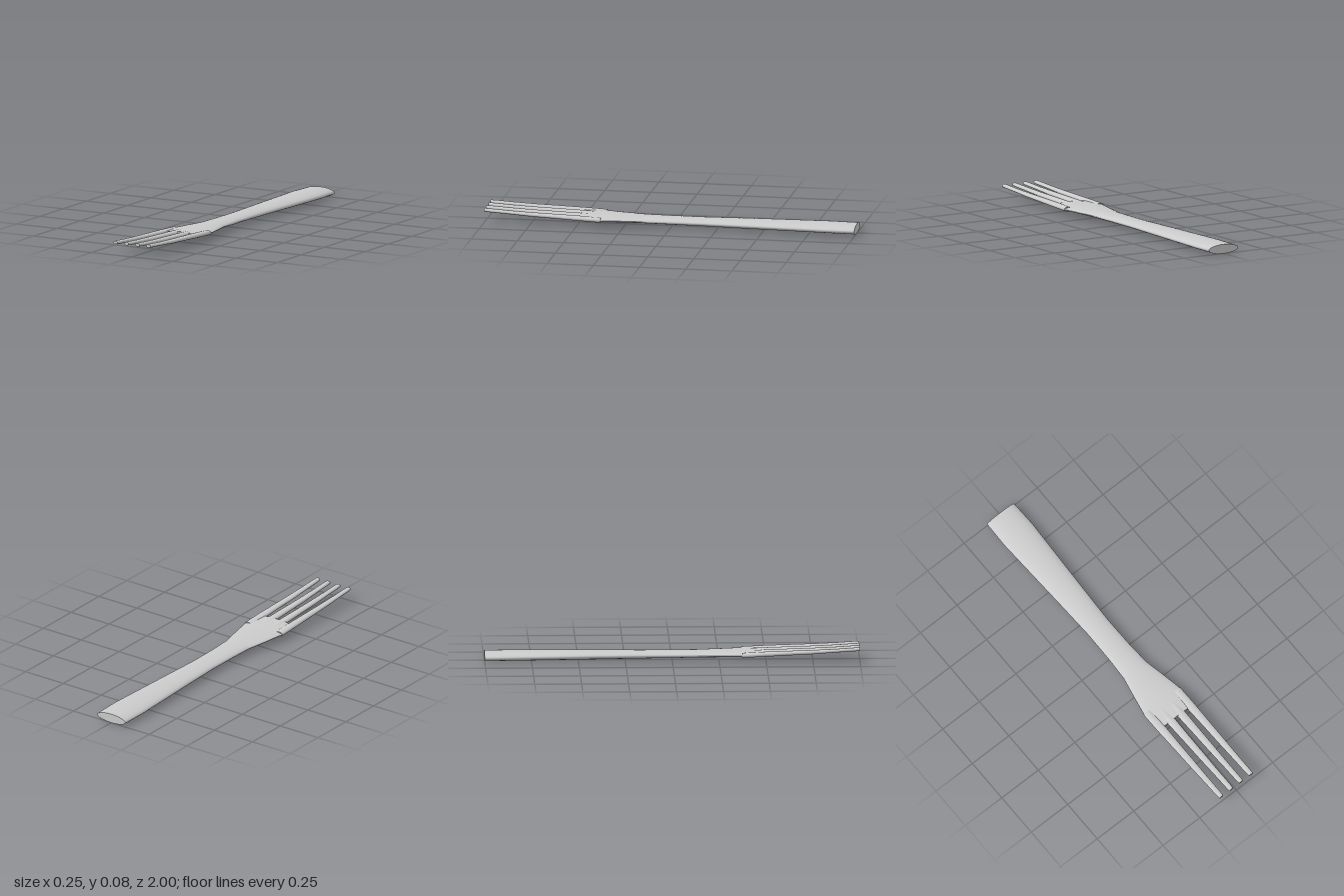
import * as THREE from 'three';

const material = new THREE.MeshStandardMaterial({ color: 0xcccccc });

// Loft oval sections [z, halfWidth, bottomY, topY] along z, with flat end caps
function loft(name, sections, sides, x0 = 0, power = 1) {
  const pos = [], index = [];
  const point = ([z, w, bottom, top], j) => {
    const a = (j / sides) * Math.PI * 2;
    const c = Math.cos(a), s = Math.sin(a);
    const mid = (bottom + top) / 2;
    pos.push(x0 + w * Math.sign(c) * Math.abs(c) ** power, mid + s * (top - bottom) / 2, z);
  };
  sections.forEach((section, i) => {
    for (let j = 0; j < sides; j++) {
      point(section, j);
      if (i === sections.length - 1) continue;
      const a = i * sides + j, b = i * sides + (j + 1) % sides;
      index.push(a, b, a + sides, b, b + sides, a + sides);
    }
  });
  // Caps use their own vertices so the rims stay sharp
  [sections[0], sections[sections.length - 1]].forEach((section, end) => {
    const start = pos.length / 3;
    for (let j = 0; j < sides; j++) point(section, j);
    for (let j = 1; j < sides - 1; j++) {
      if (end) index.push(start, start + j, start + j + 1);
      else index.push(start, start + j + 1, start + j);
    }
  });
  const geometry = new THREE.BufferGeometry();
  geometry.setAttribute('position', new THREE.Float32BufferAttribute(pos, 3));
  geometry.setIndex(index);
  geometry.computeVertexNormals();
  const mesh = new THREE.Mesh(geometry, material);
  mesh.name = name;
  return mesh;
}

export function createModel() {
  const fork = new THREE.Group();
  fork.name = 'fork';

  // Handle, flaring at the back and narrowing at the waist
  fork.add(loft('handle', [
    [-1, 0.093, 0.0, 0.05],
    [-0.85, 0.097, 0.002, 0.052],
    [-0.4, 0.077, 0.006, 0.052],
    [-0.17, 0.068, 0.009, 0.05],
    [0, 0.07, 0.011, 0.05],
    [0.14, 0.077, 0.014, 0.05],
  ], 32));

  // Shoulder widening into the root of the tines
  fork.add(loft('shoulder', [
    [0.14, 0.077, 0.014, 0.05],
    [0.25, 0.1, 0.018, 0.051],
    [0.37, 0.123, 0.022, 0.052],
    [0.4, 0.121, 0.024, 0.052],
    [0.49, 0.105, 0.027, 0.053],
  ], 32));

  // Four tapered tines, curving gently upward
  for (let i = 0; i < 4; i++) {
    const x = (i - 1.5) * 0.0675;
    fork.add(loft('tine' + (i + 1), [
      [0.37, 0.024, 0.025, 0.05],
      [0.5, 0.024, 0.031, 0.056],
      [0.62, 0.021, 0.037, 0.06],
      [0.75, 0.019, 0.043, 0.064],
      [0.88, 0.016, 0.052, 0.07],
      [0.97, 0.015, 0.057, 0.076],
      [1, 0.013, 0.06, 0.077],
    ], 16, x, 0.8));
  }
  return fork;
}
